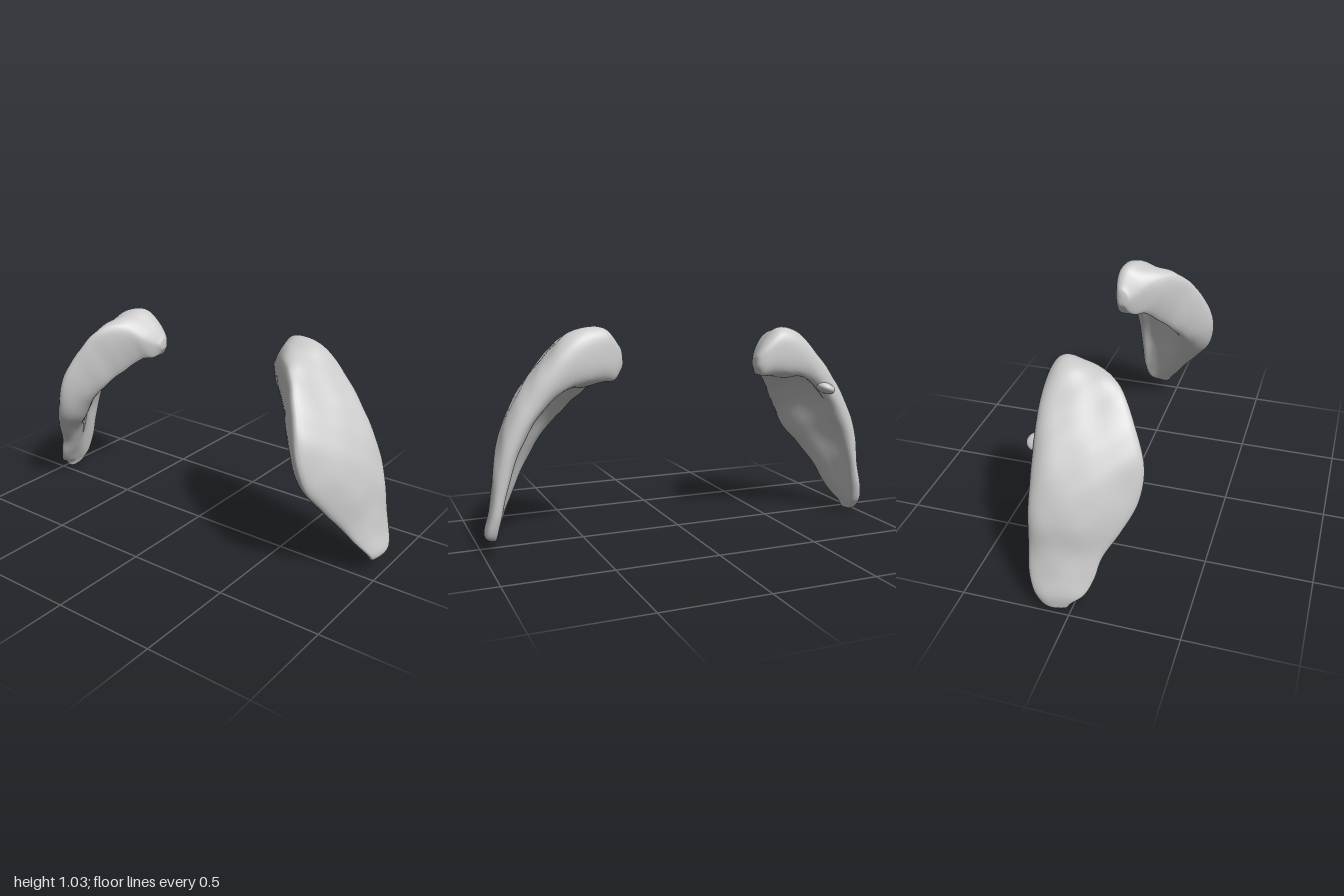
import * as THREE from 'three';
import { mergeVertices } from 'three/addons/utils/BufferGeometryUtils.js';

// Cross-section loop: [across (0 outer .. 1 inner), depth (0 back .. 1 front)]
const SOLID = [[.03, .17], [0, .36], [.09, .6], [.25, .84], [.48, 1], [.78, .92], [1, .7],
  [1, .55], [1, .36], [.98, .16], [.8, .03], [.45, 0], [.15, .05]];
const HOLLOW = [[0, .14], [.01, .32], [.1, .57], [.27, .83], [.5, 1], [.78, .93], [1, .72],
  [.86, .58], [.56, .38], [.41, .2], [.43, .06], [.3, 0], [.1, .03]];

// Stations from head to tip: outer x, y, inner x, y, back z, front z, hollowness,
// shift of the front edge towards the inner side
const LEFT = [
  [.365, .95, .352, .83, -.19, -.11, 0, 0],
  [.42, 1.02, .385, .785, -.205, -.05, 0, -.1],
  [.5, 1.03, .43, .78, -.215, .025, 0, -.2],
  [.59, 1.0, .5, .71, -.225, .11, .3, -.26],
  [.7, .885, .57, .62, -.225, .205, .8, -.18],
  [.8, .76, .64, .53, -.215, .258, 1, .02],
  [.88, .62, .71, .44, -.21, .24, 1, .22],
  [.932, .46, .785, .34, -.205, .16, 1, .28],
  [.955, .32, .85, .235, -.2, .075, .9, .28],
  [.975, .2, .9, .15, -.195, .02, .6, .2],
  [.995, .11, .935, .09, -.17, -.025, .2, 0]];
const RIGHT = [
  [.355, .88, .352, .8, -.19, -.11, 0, 0],
  [.4, .94, .375, .77, -.205, -.05, 0, -.1],
  [.48, 1.0, .42, .765, -.215, .015, 0, -.2],
  [.57, .985, .49, .7, -.225, .11, .3, -.26],
  [.68, .875, .55, .63, -.23, .195, .8, -.18],
  [.79, .745, .62, .54, -.22, .253, 1, .02],
  [.88, .6, .69, .43, -.21, .24, 1, .22],
  [.935, .44, .77, .34, -.205, .185, 1, .28],
  [.95, .3, .84, .23, -.2, .115, .9, .28],
  [.975, .18, .885, .14, -.195, .088, .6, .28],
  [.998, .09, .92, .075, -.17, .052, .2, .2],
  [.998, .045, .94, .04, -.14, 0, 0, 0]];

// One ring of 3D points from a station
function ring([ox, oy, ix, iy, zb, zf, w, shift]) {
  return SOLID.map(([a, d], k) => {
    const v = THREE.MathUtils.lerp(d, HOLLOW[k][1], w);
    let u = THREE.MathUtils.lerp(a, HOLLOW[k][0], w);
    u += shift * v * v * 4 * u * (1 - u);
    return new THREE.Vector3(ox + (ix - ox) * u, oy + (iy - oy) * u, zb + (zf - zb) * v);
  });
}

// Rounded end: a smaller ring most of the way to the pole, then the pole itself
function capRings(points, pole) {
  const c = points.reduce((s, p) => s.add(p), new THREE.Vector3()).divideScalar(points.length);
  const offset = pole.clone().sub(c).multiplyScalar(.72);
  return [points.map(p => p.clone().lerp(c, .35).add(offset)), points.map(() => pole.clone())];
}

// Smooth curved shell lofted through the stations; side is +1 or -1
function shellGeometry(stations, side, headPole, tipPole) {
  const along = 96, around = 52;
  const body = stations.map(ring);
  const rings = [...capRings(body[0], headPole).reverse(), ...body,
    ...capRings(body[body.length - 1], tipPole)];

  const columns = SOLID.map((_, k) => new THREE.CatmullRomCurve3(rings.map(r => r[k])));
  const pos = [], index = [];
  for (let i = 0; i <= along; i++) {
    const loop = new THREE.CatmullRomCurve3(columns.map(c => c.getPoint(i / along)), true);
    for (let j = 0; j < around; j++) {
      const p = loop.getPoint(j / around);
      // Faint surface unevenness
      const n = .0015 * (Math.sin(p.x * 31 + p.z * 17) * Math.sin(p.y * 27 - p.z * 23)
        + Math.sin(p.y * 19 + 1) * Math.sin(p.z * 37));
      pos.push(side * (p.x + n), p.y + n, p.z);
    }
  }

  const face = (a, b, c) => side > 0 ? index.push(a, b, c) : index.push(a, c, b);
  for (let i = 0; i < along; i++) {
    for (let j = 0; j < around; j++) {
      const a = i * around, b = a + around, k = (j + 1) % around;
      face(a + j, a + k, b + j);
      face(a + k, b + k, b + j);
    }
  }
  const g = new THREE.BufferGeometry();
  g.setAttribute('position', new THREE.Float32BufferAttribute(pos, 3));
  g.setIndex(index);
  const welded = mergeVertices(g, 1e-5);
  welded.computeVertexNormals();
  return welded;
}

export function createModel() {
  const model = new THREE.Group();
  model.name = 'pairedCurvedShells';
  const material = new THREE.MeshStandardMaterial({ color: 0xcccccc });
  const add = (name, geometry) => {
    const mesh = new THREE.Mesh(geometry, material);
    mesh.name = name;
    model.add(mesh);
    return mesh;
  };

  add('leftShell', shellGeometry(LEFT, 1,
    new THREE.Vector3(.342, .885, -.155), new THREE.Vector3(.967, .07, -.09)));
  add('rightShell', shellGeometry(RIGHT, -1,
    new THREE.Vector3(.342, .835, -.155), new THREE.Vector3(.97, .003, -.07)));

  // Small knob on the back edge of the right shell
  const knob = add('rightBackKnob', new THREE.SphereGeometry(1, 24, 16));
  knob.scale.set(.05, .027, .055);
  knob.rotation.z = .4;
  knob.position.set(-.72, .695, -.206);
  return model;
}
